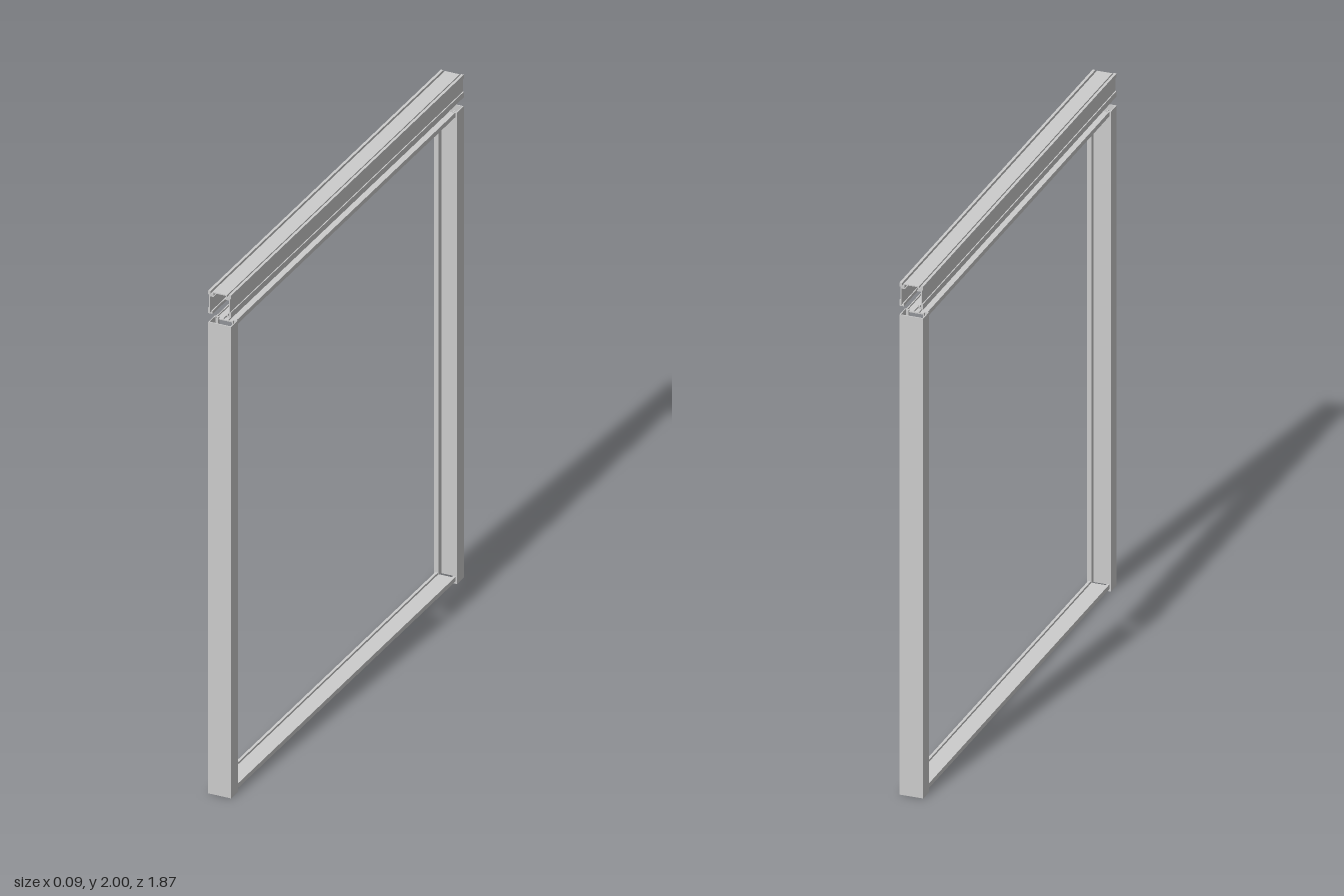
import * as THREE from 'three';

const material = new THREE.MeshStandardMaterial({ color: 0xcccccc, flatShading: true });

// Mirrors half a cross-section (x >= 0, starting and ending on x = 0) and extrudes it, centred, along z
function extrusion(half, length) {
  const pts = [
    ...half.map(([x, y]) => new THREE.Vector2(x, y)),
    ...half.slice(1, -1).reverse().map(([x, y]) => new THREE.Vector2(-x, y)),
  ];
  const geo = new THREE.ExtrudeGeometry(new THREE.Shape(pts), { depth: length, bevelEnabled: false });
  return geo.translate(0, 0, -length / 2);
}

function part(name, geometry, group) {
  const mesh = new THREE.Mesh(geometry, material);
  mesh.name = name;
  group.add(mesh);
  return mesh;
}

export function createModel() {
  const group = new THREE.Group();
  group.name = 'slidingDoorFrame';

  // Inverted channel with grooved top, ribbed walls and hooked lower lips
  const track = [
    [0, 1.998], [0.029, 1.998], [0.029, 1.99], [0.035, 1.99], [0.035, 2], [0.045, 2],
    [0.045, 1.985], [0.041, 1.985], [0.041, 1.932], [0.045, 1.932], [0.045, 1.91],
    [0.028, 1.91], [0.028, 1.922], [0.032, 1.922], [0.032, 1.914], [0.037, 1.914],
    [0.037, 1.978], [0.022, 1.978], [0.022, 1.982], [0.025, 1.982], [0.025, 1.994], [0, 1.994],
  ];
  part('topTrack', extrusion(track, 1.87), group);

  // Upright lipped channels, open toward the middle of the frame
  const stile = [
    [0, 0], [0.045, 0], [0.045, 0.055], [0.028, 0.055], [0.028, 0.043], [0.032, 0.043],
    [0.032, 0.051], [0.041, 0.051], [0.041, 0.004], [0, 0.004],
  ];
  const stileGeo = extrusion(stile, 1.875).rotateX(-Math.PI / 2).translate(0, 1.875 / 2, 0.935);
  part('frontStile', stileGeo, group);
  part('backStile', stileGeo, group).rotation.y = Math.PI;

  // Shallow rails: shoulders on the inner side, ribs on the outer side
  const rail = [
    [0, 0.01], [0.03, 0.01], [0.03, 0.018], [0.04, 0.018], [0.04, 0], [0.036, 0],
    [0.036, 0.006], [0.012, 0.006], [0.012, 0], [0.008, 0], [0.008, 0.006], [0, 0.006],
  ];
  const railGeo = extrusion(rail, 1.77);
  part('bottomRail', railGeo, group).position.y = 0.01;
  const topRail = part('topRail', railGeo, group);
  topRail.rotation.z = Math.PI;
  topRail.position.y = 1.875;

  return group;
}
